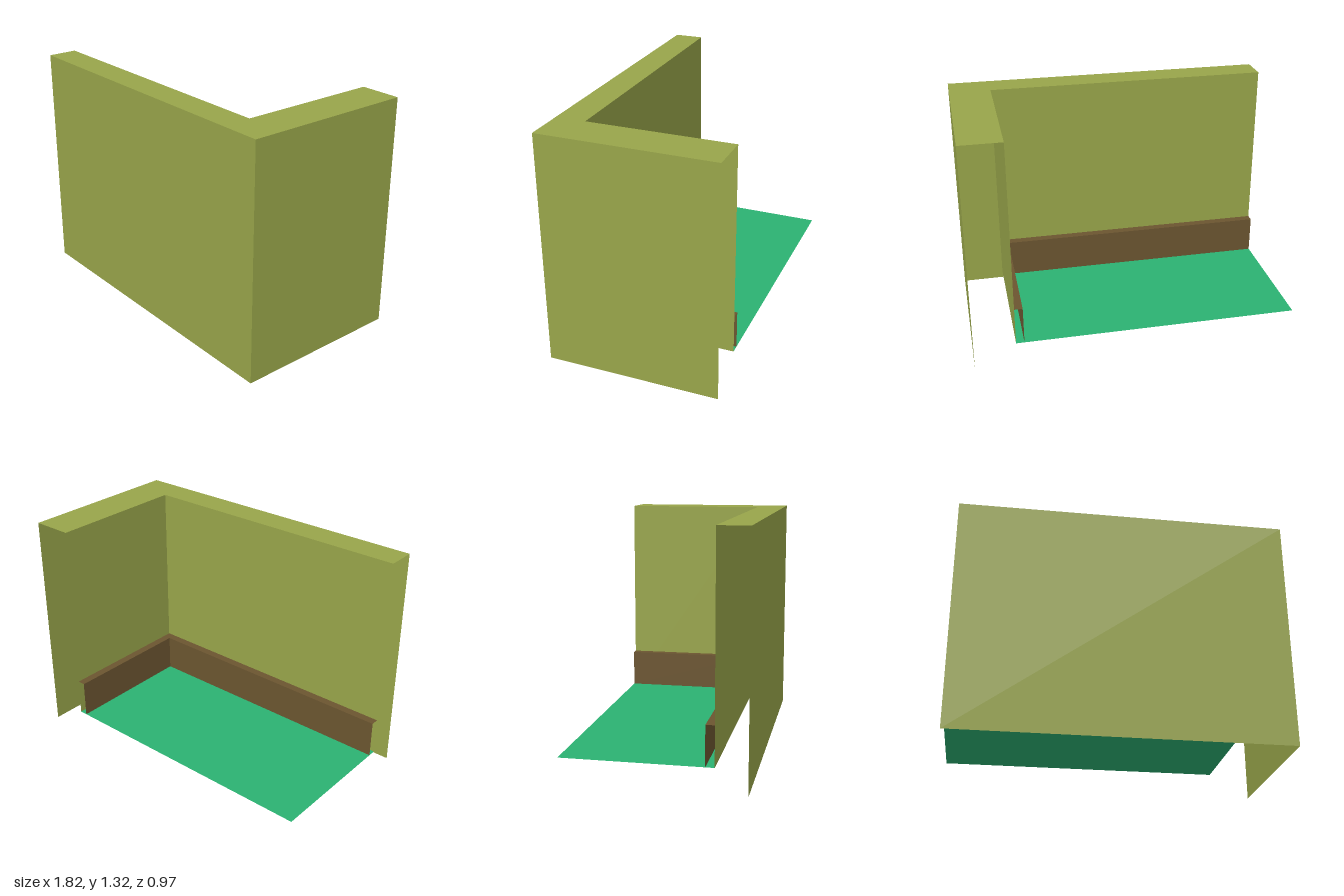
import * as THREE from 'three';

const LEFT_END = -1, BACK = -0.485;
const BASE = 0.14; // height of the raised floor

const material = (color) => new THREE.MeshStandardMaterial({ color, side: THREE.DoubleSide, flatShading: true });

// Sweeps an open profile of [cornerX, cornerZ, y] points along the L-shaped plan, with a mitred corner and open ends.
function sweepL(name, profile, color) {
  const rows = profile.map(([x, z, y]) => [[LEFT_END, y, z], [x, y, z], [x, y, BACK]]);
  const positions = [];
  for (let i = 0; i < rows.length - 1; i++) {
    for (let j = 0; j < 2; j++) {
      const a = rows[i][j], b = rows[i][j + 1], c = rows[i + 1][j + 1], d = rows[i + 1][j];
      positions.push(...a, ...b, ...c, ...a, ...c, ...d);
    }
  }
  const geometry = new THREE.BufferGeometry();
  geometry.setAttribute('position', new THREE.Float32BufferAttribute(positions, 3));
  geometry.computeVertexNormals();
  const mesh = new THREE.Mesh(geometry, material(color));
  mesh.name = name;
  return mesh;
}

export function createModel() {
  const group = new THREE.Group();
  group.name = 'roomCorner';

  const outer = [0.823, 0.483], inner = [0.592, 0.317], face = [0.546, 0.27];
  const top = 1.315, skirtTop = 0.355;

  // Hollow wall: outer skin, cap and shorter inner skin
  group.add(sweepL('wall', [[...outer, 0], [...outer, top], [...inner, top], [...inner, BASE]], 0x98a54a));

  // Skirting board: ledge and face
  group.add(sweepL('skirting', [[...inner, skirtTop], [...face, skirtTop], [...face, BASE]], 0x6b5530));

  // Thin floor reaching the inner skin of the wall
  const width = inner[0] - LEFT_END, depth = inner[1] - BACK;
  const floor = new THREE.Mesh(new THREE.PlaneGeometry(width, depth).rotateX(-Math.PI / 2), material(0x2bb272));
  floor.position.set((inner[0] + LEFT_END) / 2, BASE, (inner[1] + BACK) / 2);
  floor.name = 'floor';
  group.add(floor);

  return group;
}
